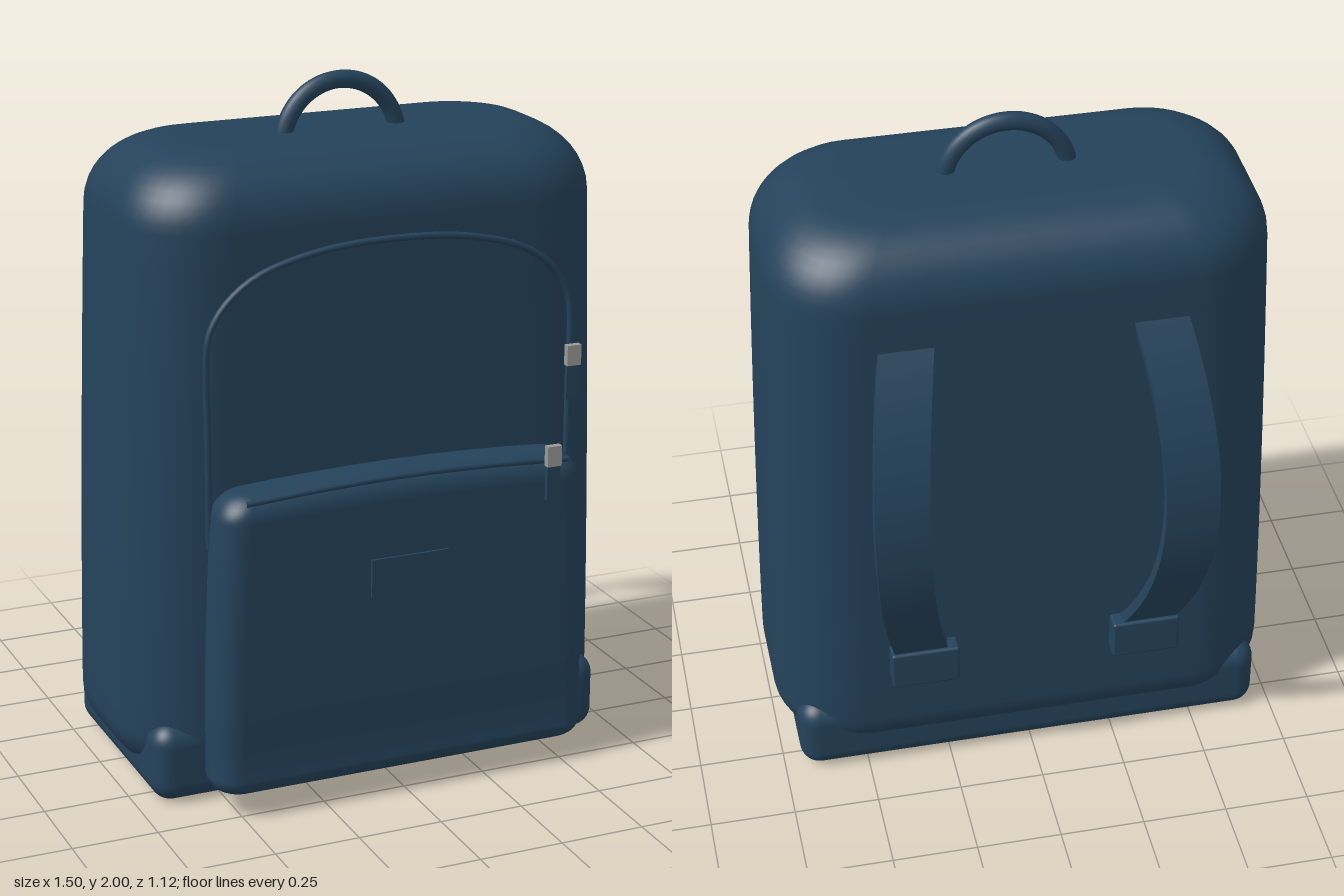
import * as THREE from 'three';
import { RoundedBoxGeometry } from 'three/addons/geometries/RoundedBoxGeometry.js';

const navy = new THREE.MeshStandardMaterial({ color: 0x24425a });
navy.name = 'navy fabric';
const metal = new THREE.MeshStandardMaterial({ color: 0x9a9a98 });
metal.name = 'grey metal';

function add(parent, name, geometry, material, x = 0, y = 0, z = 0) {
  const mesh = new THREE.Mesh(geometry, material);
  mesh.name = name;
  mesh.position.set(x, y, z);
  parent.add(mesh);
  return mesh;
}

// Rounded rectangle in the xz plane, with extra points along its straight edges
function roundedRing(hw, hd, r) {
  const pts = [];
  const corners = [[1, 1], [-1, 1], [-1, -1], [1, -1]];
  corners.forEach(([sx, sz], k) => {
    for (let i = 0; i <= 10; i++) {
      const a = (k + i / 10) * Math.PI / 2;
      pts.push([sx * (hw - r) + r * Math.cos(a), sz * (hd - r) + r * Math.sin(a)]);
    }
    const [nx, nz] = corners[(k + 1) % 4];
    const next = (k + 1) * Math.PI / 2;
    const end = pts[pts.length - 1];
    const to = [nx * (hw - r) + r * Math.cos(next), nz * (hd - r) + r * Math.sin(next)];
    for (let i = 1; i < 8; i++) {
      pts.push([end[0] + (to[0] - end[0]) * i / 8, end[1] + (to[1] - end[1]) * i / 8]);
    }
  });
  return pts;
}

// Padded bag shape: stacked rounded rectangles with rounded top and bottom rims.
// shape(t) gives half width, half depth and z centre; warp(x, t) lifts the surface.
function paddedShape({ y0, y1, rBottom, rTop, corner, shape, warp = () => 0 }) {
  const levels = [];
  const N = 10;
  for (const s of [0, 0.4, 0.75]) levels.push([y0, rBottom, s]);
  for (let i = 0; i <= N; i++) {
    const a = i / N * Math.PI / 2;
    levels.push([y0 + rBottom * (1 - Math.cos(a)), rBottom * (1 - Math.sin(a)), 1]);
  }
  for (let i = 1; i < 14; i++) levels.push([y0 + rBottom + (y1 - rTop - y0 - rBottom) * i / 14, 0, 1]);
  for (let i = 0; i <= N; i++) {
    const a = i / N * Math.PI / 2;
    levels.push([y1 - rTop * (1 - Math.sin(a)), rTop * (1 - Math.cos(a)), 1]);
  }
  for (const s of [0.75, 0.4, 0]) levels.push([y1, rTop, s]);

  const pos = [], idx = [];
  let n = 0;
  for (const [y, inset, s] of levels) {
    const t = (y - y0) / (y1 - y0);
    const [hw, hd, cz] = shape(t);
    const ring = roundedRing(hw - inset, hd - inset, Math.max(0.01, Math.min(corner - inset * 0.5, hd - inset - 0.005)));
    n = ring.length;
    for (const [x, z] of ring) pos.push(x * s, y + warp(x * s, t), z * s + cz);
  }
  for (let j = 0; j < levels.length - 1; j++) {
    for (let i = 0; i < n; i++) {
      const a = j * n + i, b = j * n + (i + 1) % n;
      idx.push(a, a + n, b, b, a + n, b + n);
    }
  }
  const g = new THREE.BufferGeometry();
  g.setAttribute('position', new THREE.Float32BufferAttribute(pos, 3));
  g.setIndex(idx);
  g.computeVertexNormals();
  return g;
}

// Flat strap bowed away from the back and slightly outwards
function strapGeometry(side) {
  const g = new THREE.BoxGeometry(0.155, 2, 0.032, 1, 32, 1);
  const p = g.attributes.position;
  for (let i = 0; i < p.count; i++) {
    const u = p.getY(i), off = p.getZ(i);
    const slope = 0.41 * u / 0.55;
    const len = Math.hypot(1, slope);
    const x = 0.34 + 0.015 * u + 0.07 * (1 - u * u);
    p.setXYZ(i, p.getX(i) + side * x, 0.97 + 0.55 * u - off * slope / len, -0.338 - 0.205 * (1 - u * u) + off / len);
  }
  g.computeVertexNormals();
  return g;
}

function tube(points, radius, segments) {
  const curve = new THREE.CatmullRomCurve3(points.map(p => new THREE.Vector3(...p)), false, 'centripetal');
  return new THREE.TubeGeometry(curve, segments, radius, 8);
}

// Zip pull: metal slider with a fabric tab below it
function zipPull(parent, name, x, y, z) {
  const pull = new THREE.Group();
  pull.name = name;
  pull.position.set(x, y, z);
  add(pull, 'slider', new THREE.BoxGeometry(0.044, 0.06, 0.02), metal);
  add(pull, 'pullTab', new THREE.BoxGeometry(0.042, 0.1, 0.012), navy, 0, -0.08, 0);
  parent.add(pull);
}

export function createModel() {
  const bag = new THREE.Group();
  bag.name = 'backpack';

  // Main compartment, narrowing a little towards the top
  add(bag, 'mainBody', paddedShape({
    y0: 0.04, y1: 1.838, rBottom: 0.15, rTop: 0.19, corner: 0.25,
    shape: t => [0.75 - 0.05 * t ** 1.5, 0.364, 0.006 + 0.01 * t],
  }), navy);

  // Base with protruding corners
  add(bag, 'base', new RoundedBoxGeometry(1.4, 0.23, 0.7, 6, 0.06), navy, 0, 0.115, 0.01);

  // Front pocket with a gently arched top
  add(bag, 'frontPocket', paddedShape({
    y0: 0.065, y1: 0.945, rBottom: 0.05, rTop: 0.07, corner: 0.075,
    shape: t => [0.575 - 0.03 * t * t, 0.092 - 0.006 * Math.exp(-(((t - 0.14) / 0.06) ** 2)), 0.44],
    warp: (x, t) => 0.02 * t ** 4 * (1 - (x / 0.5) ** 2),
  }), navy);
  add(bag, 'pocketLabel', new THREE.BoxGeometry(0.235, 0.11, 0.008), navy, -0.003, 0.67, 0.536);
  add(bag, 'pocketZip', tube([[-0.49, 0.938, 0.53], [-0.25, 0.952, 0.53], [0, 0.958, 0.53],
    [0.25, 0.952, 0.53], [0.49, 0.938, 0.53]], 0.009, 24), navy);
  zipPull(bag, 'pocketZipPull', 0.43, 0.962, 0.552);

  // Arched zip above the pocket
  const half = [[0.55, 0.775], [0.55, 1.1], [0.55, 1.34], [0.537, 1.4], [0.49, 1.47], [0.4, 1.535], [0.22, 1.585]];
  const arch = [
    ...half.map(([x, y]) => [-x, y, 0.403]),
    [0, 1.6, 0.403],
    ...half.slice().reverse().map(([x, y]) => [x, y, 0.403]),
  ];
  add(bag, 'archZip', tube(arch, 0.01, 80), navy);
  zipPull(bag, 'archZipPull', 0.55, 1.21, 0.428);

  // Carry handle
  add(bag, 'topHandle', new THREE.TorusGeometry(0.175, 0.026, 12, 40, Math.PI), navy, 0, 1.799, 0.035);

  // Shoulder straps and their lower anchors
  for (const side of [1, -1]) {
    const name = side > 0 ? 'left' : 'right';
    add(bag, name + 'Strap', strapGeometry(side), navy);
    add(bag, name + 'StrapAnchor', new RoundedBoxGeometry(0.2, 0.125, 0.07, 2, 0.008), navy, side * 0.33, 0.413, -0.373);
  }
  return bag;
}
